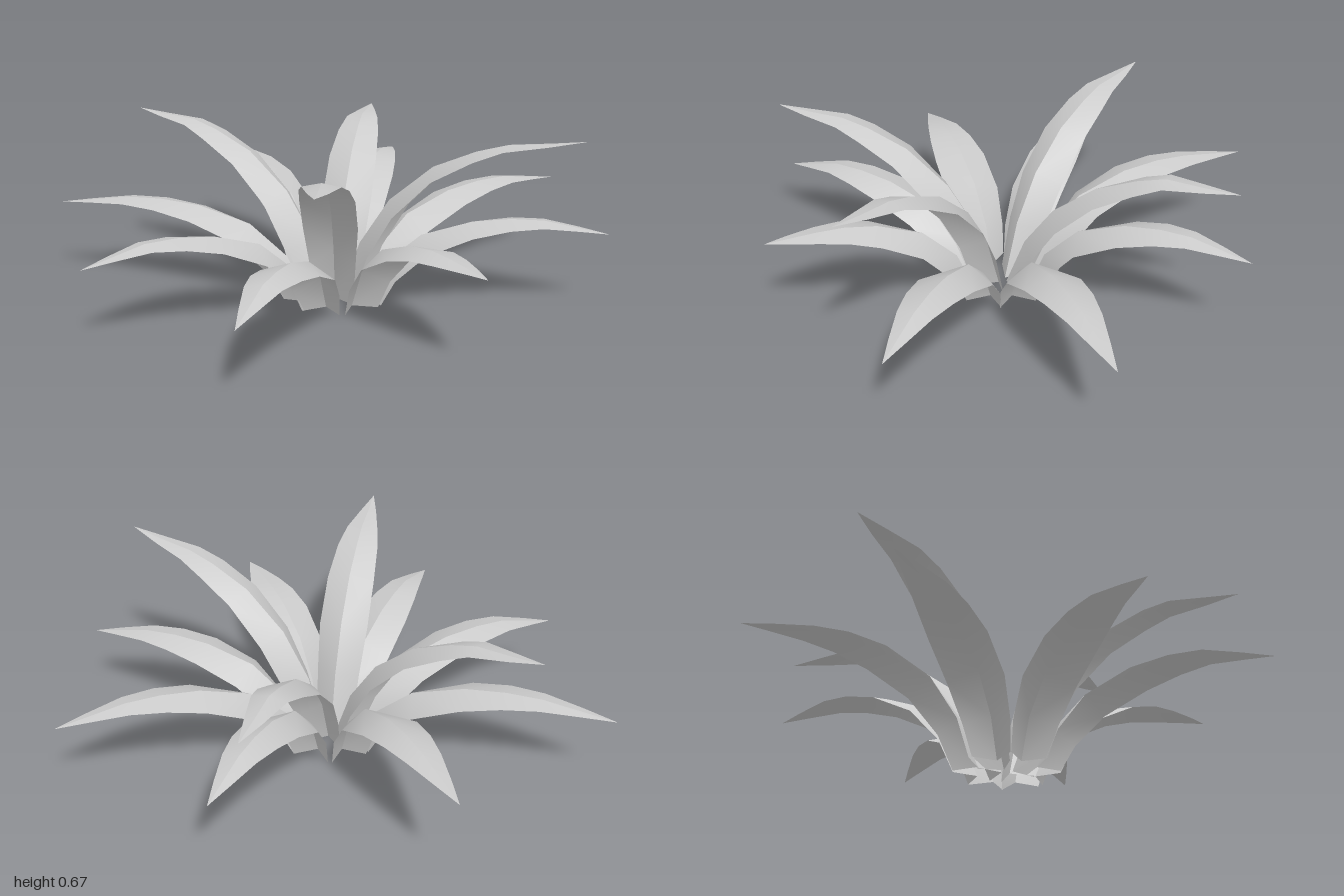
import * as THREE from 'three';

const CENTRE = { x: -0.035, z: 0.06 };

// Stations along a leaf: share of reach, share of arch height, half width,
// and how far the edges fall behind the raised midrib
const LOW = [
  [0.115, 0, 0.07, 0.07],
  [0.18, 0.42, 0.086, 0.064],
  [0.315, 0.77, 0.103, 0.054],
  [0.5, 0.95, 0.102, 0.034],
  [0.64, 1, 0.085, 0.02],
  [0.76, 1, 0.062, 0.012],
  [0.89, null, 0.03, 0.004],
  [1, null, 0, 0],
];
const TALL = [
  [0.02, 0, 0.07, 0.07],
  [0.095, 0.35, 0.082, 0.064],
  [0.21, 0.63, 0.094, 0.056],
  [0.38, 0.85, 0.092, 0.038],
  [0.55, 0.96, 0.08, 0.022],
  [0.67, 1.01, 0.062, 0.012],
  [0.84, null, 0.032, 0.004],
  [1, null, 0, 0],
];

// Tip x, tip z, tip height, arch height
const LOW_LEAVES = [
  [1, 0.06, 0.305, 0.345],
  [-1, 0.06, 0.285, 0.335],
  [-0.035, 0.93, 0.34, 0.35],
  [-0.035, -0.93, 0.375, 0.4],
  [0.7, 0.7, 0.29, 0.33],
  [-0.77, 0.7, 0.26, 0.315],
  [0.66, -0.59, 0.34, 0.385],
  [-0.81, -0.67, 0.3, 0.335],
];
const TALL_LEAVES = [
  [0.49, 0.78, 0.668, 0.625],
  [-0.54, 0.76, 0.63, 0.6],
  [-0.47, -0.68, 0.625, 0.6],
  [0.55, -0.59, 0.545, 0.55],
];

// Folded leaf growing along +x; each half has its own vertices so the midrib stays sharp
function leafGeometry(profile, reach, tipY, arch) {
  const line = profile.map(([r, h]) => {
    const height = h === null ? THREE.MathUtils.mapLinear(r, profile[5][0], 1, arch, tipY) : h * arch;
    return new THREE.Vector2(r + (reach - 1) * r * r, height);
  });
  const positions = [];
  const index = [];
  for (const side of [1, -1]) {
    const start = positions.length / 3;
    profile.forEach(([, , halfWidth, fold], i) => {
      const p = line[i];
      const t = line[Math.min(i + 1, line.length - 1)].clone().sub(line[Math.max(i - 1, 0)]).normalize();
      const drop = i === 0 ? 0 : t.x * fold;
      positions.push(p.x, p.y, 0); // midrib
      positions.push(p.x + t.y * fold, p.y - drop, side * halfWidth); // edge
    });
    for (let i = 0; i < profile.length - 1; i++) {
      const a = start + 2 * i, b = a + 1, c = a + 2, d = a + 3;
      const faces = i === profile.length - 2 ? [[a, b, c]] : [[a, b, d], [a, d, c]];
      for (const [u, v, w] of faces) index.push(...(side > 0 ? [u, v, w] : [u, w, v]));
    }
  }
  const geometry = new THREE.BufferGeometry();
  geometry.setAttribute('position', new THREE.Float32BufferAttribute(positions, 3));
  geometry.setIndex(index);
  geometry.computeVertexNormals();
  return geometry;
}

export function createModel() {
  const model = new THREE.Group();
  model.name = 'rosettePlant';
  const material = new THREE.MeshStandardMaterial({ color: 0xcccccc, side: THREE.DoubleSide });

  const addRing = (name, profile, leaves) => {
    const ring = new THREE.Group();
    ring.name = name + 'Leaves';
    leaves.forEach(([x, z, tipY, arch], i) => {
      const dx = x - CENTRE.x, dz = z - CENTRE.z;
      const leaf = new THREE.Mesh(leafGeometry(profile, Math.hypot(dx, dz), tipY, arch), material);
      leaf.name = `${name}Leaf${i + 1}`;
      leaf.position.set(CENTRE.x, 0, CENTRE.z);
      leaf.rotation.y = -Math.atan2(dz, dx);
      ring.add(leaf);
    });
    model.add(ring);
  };

  addRing('outer', LOW, LOW_LEAVES);
  addRing('inner', TALL, TALL_LEAVES);
  return model;
}
